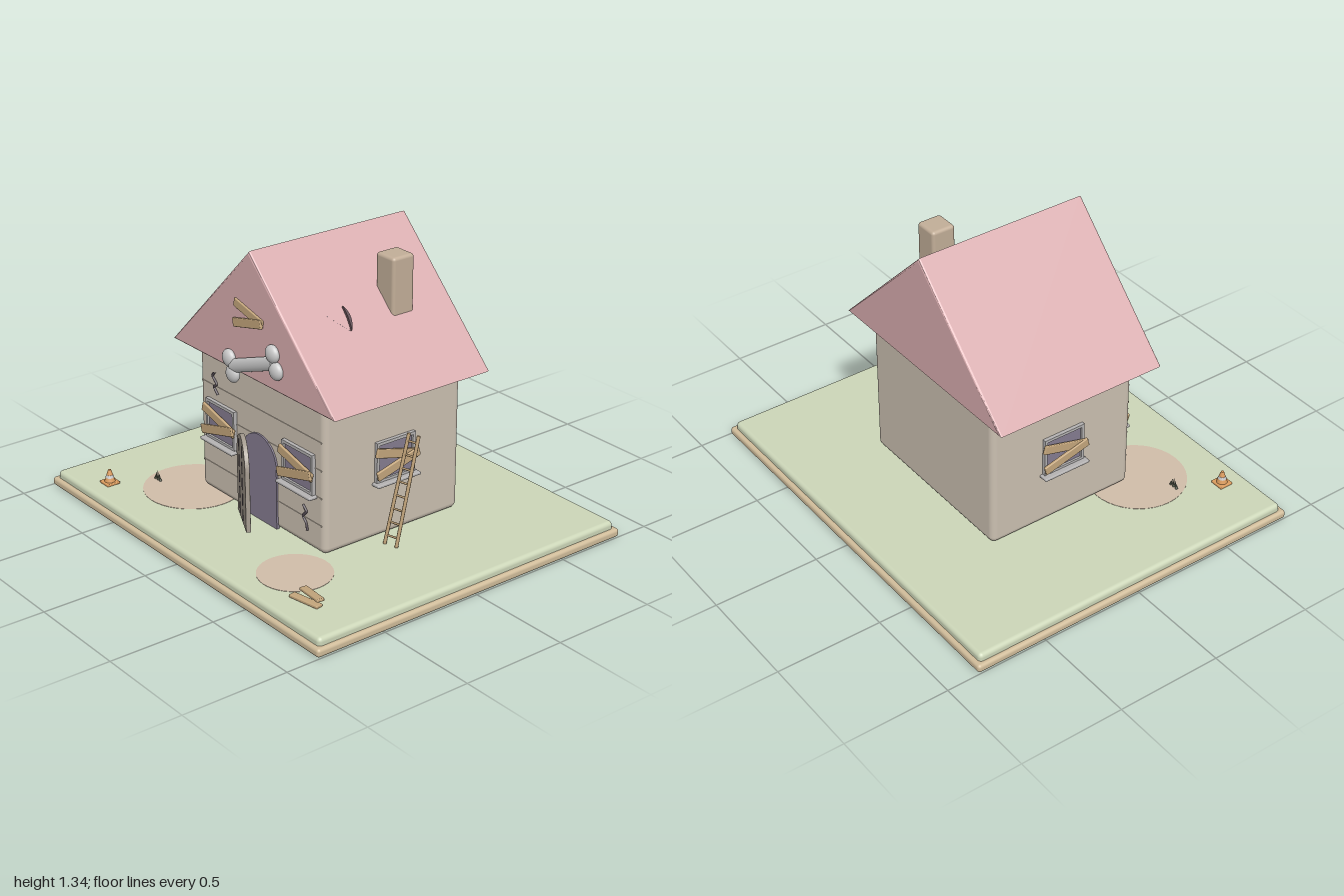
import * as THREE from 'three';
import { RoundedBoxGeometry } from 'three/addons/geometries/RoundedBoxGeometry.js';

const mat = (color, extra = {}) => new THREE.MeshStandardMaterial({ color, ...extra });
const M = {
  wall: mat(0xcbc0b1), roof: mat(0xd9adaf), brick: mat(0xc2ae98), grass: mat(0xccd6b8),
  rim: mat(0xd0bc9a), wood: mat(0xc4a67c), door: mat(0xa39a8e), dark: mat(0x5a5058),
  glass: mat(0x857c90), frame: mat(0xb5b3b3), bone: mat(0xcccccc), orange: mat(0xdb9c5e),
  dirt: mat(0xd0bda9), weed: mat(0x59604f), shard: mat(0x86a8d0, { side: THREE.DoubleSide }),
  hole: mat(0x5f4c52, { side: THREE.DoubleSide }),
};

function add(parent, name, geometry, material, x = 0, y = 0, z = 0) {
  const mesh = new THREE.Mesh(geometry, material);
  mesh.name = name;
  mesh.position.set(x, y, z);
  parent.add(mesh);
  return mesh;
}
const box = (w, h, d) => new THREE.BoxGeometry(w, h, d);
const rbox = (w, h, d, r) => new RoundedBoxGeometry(w, h, d, 3, r);
const V = (x, y, z) => new THREE.Vector3(x, y, z);

function group(parent, name, x = 0, y = 0, z = 0) {
  const g = new THREE.Group();
  g.name = name;
  g.position.set(x, y, z);
  parent.add(g);
  return g;
}

// Cylinder between two points
function rod(parent, name, a, b, r, material, sides = 8) {
  const mid = a.clone().add(b).multiplyScalar(0.5);
  const mesh = add(parent, name, new THREE.CylinderGeometry(r, r, a.distanceTo(b), sides), material, mid.x, mid.y, mid.z);
  mesh.quaternion.setFromUnitVectors(V(0, 1, 0), b.clone().sub(a).normalize());
  return mesh;
}

// Two crossed boards that meet on the right
function boardPair(parent, name, length, width, spread, angle, z) {
  for (const s of [1, -1]) {
    const b = add(parent, name, rbox(length, width, 0.014, 0.004), M.wood, 0, s * spread, z + (s < 0 ? 0.008 : 0));
    b.rotation.z = -s * angle;
  }
}

// Window facing +z of its own group
function addWindow(parent, name, x, y, z, turn) {
  const g = group(parent, name, x, y, z);
  g.rotation.y = turn;
  add(g, 'windowPane', box(0.2, 0.18, 0.01), M.glass, 0, 0, 0.002);
  for (const s of [1, -1]) {
    add(g, 'windowFrameSide', box(0.014, 0.19, 0.022), M.frame, s * 0.1, 0, 0.006);
    add(g, 'windowFrameRail', box(0.214, 0.014, 0.022), M.frame, 0, s * 0.088, 0.006);
  }
  add(g, 'windowSill', rbox(0.24, 0.014, 0.05, 0.005), M.frame, 0, -0.1, 0.018);
  boardPair(g, 'windowBoard', 0.24, 0.042, 0.024, 0.26, 0.024);
}

// Round-topped outline starting at its lower left corner
function archShape(w, h) {
  const r = w / 2;
  const s = new THREE.Shape();
  s.moveTo(0, 0);
  s.lineTo(w, 0);
  s.lineTo(w, h - r);
  s.absarc(r, h - r, r, 0, Math.PI, false);
  s.lineTo(0, 0);
  return s;
}
const slab = (shape, depth, bevel = 0) => new THREE.ExtrudeGeometry(shape, {
  depth, bevelEnabled: bevel > 0, bevelSize: bevel, bevelThickness: bevel, bevelOffset: -bevel, bevelSegments: 2, curveSegments: 20,
});

function crack(parent, points) {
  const curve = new THREE.CatmullRomCurve3(points.map(([x, y]) => V(x, y, 0.382)), false, 'catmullrom', 0.3);
  add(parent, 'wallCrack', new THREE.TubeGeometry(curve, 24, 0.006, 6), M.dark);
}

export function createModel() {
  const root = new THREE.Group();
  root.name = 'ruinedHouse';

  // Ground
  add(root, 'groundRim', rbox(2, 0.04, 1.69, 0.015), M.rim, 0, 0.02, 0);
  add(root, 'lawn', rbox(1.96, 0.055, 1.65, 0.02), M.grass, 0, 0.0475, 0);
  for (const [x, z, r] of [[-0.45, 0.43, 0.23], [0.485, 0.565, 0.165]])
    add(root, 'dirtPatch', new THREE.CylinderGeometry(r, r, 0.002, 40), M.dirt, x, 0.0755, z);

  // Walls, with thin plank seams on the front
  add(root, 'walls', rbox(0.9, 0.71, 0.755, 0.03), M.wall, 0, 0.43, 0.002);
  for (const y of [0.21, 0.34, 0.47, 0.6])
    add(root, 'plankSeam', box(0.86, 0.006, 0.006), M.wall, 0, y, 0.379);
  crack(root, [[-0.33, 0.67], [-0.348, 0.645], [-0.317, 0.615], [-0.338, 0.595], [-0.31, 0.565]]);
  crack(root, [[0.305, 0.267], [0.328, 0.243], [0.305, 0.213], [0.325, 0.188], [0.335, 0.155]]);

  // Roof prism
  const gable = new THREE.Shape();
  gable.moveTo(-0.578, 0.765);
  gable.lineTo(0.578, 0.765);
  gable.lineTo(0, 1.34);
  gable.closePath();
  add(root, 'roof', slab(gable, 0.835, 0.01), M.roof, 0, 0, -0.415);
  add(root, 'chimney', rbox(0.118, 0.38, 0.118, 0.015), M.brick, 0.262, 1.09, -0.152);

  // Windows
  addWindow(root, 'frontWindowRight', -0.28, 0.437, 0.38, 0);
  addWindow(root, 'frontWindowLeft', 0.28, 0.437, 0.38, 0);
  addWindow(root, 'sideWindowLeft', 0.45, 0.437, 0, Math.PI / 2);
  addWindow(root, 'sideWindowRight', -0.45, 0.437, 0, -Math.PI / 2);

  // Doorway and the loose door hanging ajar
  add(root, 'doorway', slab(archShape(0.25, 0.412), 0.014), M.glass, -0.127, 0.075, 0.374);
  const door = group(root, 'door', -0.13, 0.078, 0.39);
  door.rotation.set(0, -0.49, 0.04);
  add(door, 'doorPanel', slab(archShape(0.255, 0.405), 0.016, 0.003), M.door);
  for (const x of [0.085, 0.17])
    for (let i = 0; i < 5; i++)
      add(door, 'doorGroove', box(0.005, 0.055, 0.004), M.dark, x, 0.045 + i * 0.075, 0.02);

  // Gable boards
  const boards = group(root, 'gableBoards', 0, 1.042, 0.432);
  boardPair(boards, 'gableBoard', 0.205, 0.04, 0.022, 0.24, 0);

  // Bone over the door
  const bone = group(root, 'bone', 0, 0, 0.438);
  bone.scale.z = 0.6;
  rod(bone, 'boneShaft', V(-0.12, 0.785, 0), V(0.18, 0.895, 0), 0.031, M.bone, 20);
  for (const [x, y] of [[-0.14, 0.815], [-0.115, 0.75], [0.172, 0.935], [0.197, 0.865]])
    add(bone, 'boneKnob', new THREE.SphereGeometry(0.041, 24, 16), M.bone, x, y, 0);

  // Broken patch on the left slope: dark gap and raised shard
  const gap = new THREE.Shape();
  gap.moveTo(0.065, 0.055);
  gap.quadraticCurveTo(0.095, 0, 0.05, -0.06);
  gap.quadraticCurveTo(0.066, 0, 0.065, 0.055);
  const slope = group(root, 'roofGap', 0.289, 1.057, 0.195);
  slope.rotation.set(0, Math.PI / 2, 0);
  const gapMesh = add(slope, 'gap', slab(gap, 0.012), M.hole);
  gapMesh.rotation.x = -Math.PI / 4;
  const shard = new THREE.BufferGeometry().setFromPoints([
    V(0.245, 1.1, 0.245), V(0.325, 1.012, 0.14), V(0.362, 1.05, 0.195)]);
  shard.computeVertexNormals();
  add(root, 'roofShard', shard, M.shard);

  // Ladder leaning beside the house
  const ladder = group(root, 'ladder');
  const feet = [V(0.52, 0.078, 0.105), V(0.58, 0.078, 0.09)];
  const tops = [V(0.553, 0.585, 0.005), V(0.601, 0.585, -0.008)];
  for (const i of [0, 1]) rod(ladder, 'ladderRail', feet[i], tops[i], 0.008, M.wood);
  for (let i = 0; i < 8; i++) {
    const t = 0.08 + i * 0.122;
    rod(ladder, 'ladderRung', feet[0].clone().lerp(tops[0], t), feet[1].clone().lerp(tops[1], t), 0.005, M.wood, 6);
  }

  // Traffic cone
  const cone = group(root, 'cone', -0.715, 0.075, 0.71);
  add(cone, 'coneBase', rbox(0.068, 0.012, 0.068, 0.004), M.orange, 0, 0.006, 0);
  add(cone, 'coneBody', new THREE.CylinderGeometry(0.007, 0.025, 0.056, 20), M.orange, 0, 0.04, 0);
  add(cone, 'coneStripe', new THREE.CylinderGeometry(0.0155, 0.02, 0.013, 20), M.bone, 0, 0.037, 0);

  // Weed tuft
  const weed = group(root, 'weed', -0.605, 0.075, 0.52);
  for (const s of [-1, 0, 1]) {
    const blade = add(weed, 'weedBlade', new THREE.ConeGeometry(0.007, s ? 0.04 : 0.052, 6), M.weed, s * 0.014, s ? 0.02 : 0.026, 0);
    blade.rotation.z = s * 0.3;
  }

  // Dropped planks
  const pile = group(root, 'plankPile', 0.71, 0.083, 0.665);
  const lower = add(pile, 'plank', rbox(0.155, 0.014, 0.036, 0.004), M.wood, 0, 0, 0.018);
  lower.rotation.y = 0.18;
  const upper = add(pile, 'plank', rbox(0.155, 0.014, 0.036, 0.004), M.wood, 0.003, 0.021, -0.012);
  upper.rotation.set(0, -0.17, 0.1);

  return root;
}
